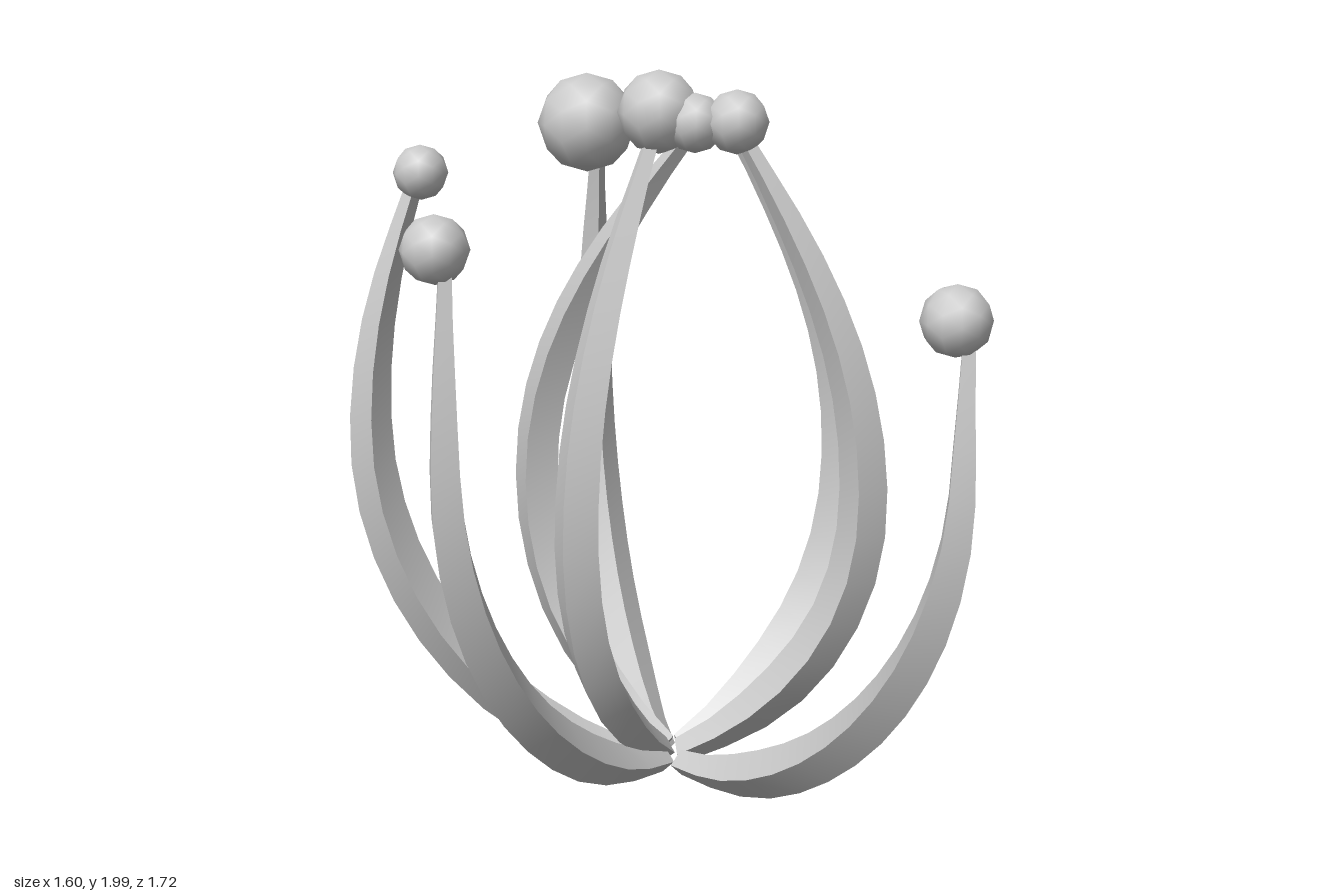
import * as THREE from 'three';
import { toCreasedNormals } from 'three/addons/utils/BufferGeometryUtils.js';

const material = new THREE.MeshStandardMaterial({ color: 0xcccccc });
const RINGS = 16;
const V = (p) => new THREE.Vector3(...p);

// start: foot of the stalk, out: widest point, end: under the bulb,
// lift: how steeply it leaves the foot, bulb: centre and radius
const stalks = [
  { start: [0.05, 0.05, -0.165], out: [-0.145, 1.0, -0.805], end: [-0.13, 1.7, -0.71], lift: 0.05, bulb: [-0.16, 1.79, -0.68, 0.144] },
  { start: [0.04, 0.05, -0.07], out: [-0.745, 1.05, 0.025], end: [-0.61, 1.72, 0], lift: 0.05, bulb: [-0.595, 1.745, 0, 0.073] },
  { start: [0.05, 0.05, -0.06], out: [-0.505, 1.1, 0.635], end: [-0.495, 1.6, 0.605], lift: 0.05, bulb: [-0.52, 1.645, 0.585, 0.086] },
  { start: [0.1, 0.045, -0.045], out: [0.735, 1.12, 0.8], end: [0.74, 1.45, 0.785], lift: 0.025, bulb: [0.71, 1.505, 0.77, 0.088] },
  { start: [0.1, 0.06, -0.1], out: [0.59, 0.85, 0.05], end: [0.25, 1.84, -0.04], lift: 0.18, bulb: [0.24, 1.87, -0.04, 0.086] },
  { start: [0.1, 0.06, -0.14], out: [0.57, 0.88, -0.305], end: [0.235, 1.84, -0.2], lift: 0.18, bulb: [0.23, 1.85, -0.2, 0.056] },
  { start: [0.06, 0.06, -0.14], out: [-0.31, 0.82, -0.32], end: [0.12, 1.84, -0.07], lift: 0.2, bulb: [0.13, 1.865, -0.06, 0.08] },
  { start: [0.05, 0.06, -0.1], out: [-0.19, 0.82, 0.3], end: [0.02, 1.83, -0.09], lift: 0.2, bulb: [0.035, 1.89, -0.1, 0.112] },
];

// point between a and b with separate fractions sideways and upwards
function between(a, b, flat, up) {
  return new THREE.Vector3(
    a.x + (b.x - a.x) * flat, a.y + (b.y - a.y) * up, a.z + (b.z - a.z) * flat);
}

// half width at even steps along the stalk: narrow foot, full belly, thin tip
const widths = new THREE.SplineCurve(
  [0.038, 0.066, 0.069, 0.066, 0.057, 0.042, 0.022].map((r, i) => new THREE.Vector2(i, r)));

// four-sided tapering stalk with its ridges facing in, out and sideways
function stalkGeometry({ start, out, end, lift }) {
  const s = V(start), o = V(out), e = V(end);
  const path = new THREE.CurvePath();
  path.add(new THREE.CubicBezierCurve3(s, between(s, o, 0.52, lift), between(s, o, 1, 0.5), o));
  path.add(new THREE.CubicBezierCurve3(o, between(o, e, 0, 0.38), between(o, e, 0.45, 0.68), e));
  const side = new THREE.Vector3(o.z - s.z, 0, s.x - o.x).normalize();
  const positions = [], index = [];
  for (let i = 0; i <= RINGS; i++) {
    const t = i / RINGS;
    const centre = path.getPointAt(t);
    const normal = path.getTangentAt(t).cross(side).normalize();
    const r = widths.getPoint(t).y;
    for (let j = 0; j < 4; j++) {
      const a = (j * Math.PI) / 2;
      const p = centre.clone()
        .addScaledVector(side, r * Math.cos(a))
        .addScaledVector(normal, r * Math.sin(a));
      positions.push(p.x, p.y, p.z);
      if (i < RINGS) {
        const k = i * 4, n = (j + 1) % 4;
        index.push(k + j, k + n, k + 4 + n, k + j, k + 4 + n, k + 4 + j);
      }
    }
  }
  // end caps
  const last = RINGS * 4;
  index.push(0, 2, 1, 0, 3, 2, last, last + 1, last + 2, last, last + 2, last + 3);
  const geometry = new THREE.BufferGeometry();
  geometry.setAttribute('position', new THREE.Float32BufferAttribute(positions, 3));
  geometry.setIndex(index);
  return toCreasedNormals(geometry, 0.7);
}

export function createModel() {
  const model = new THREE.Group();
  model.name = 'stalkCluster';
  stalks.forEach((data, i) => {
    const arm = new THREE.Group();
    arm.name = `arm${i + 1}`;
    const stalk = new THREE.Mesh(stalkGeometry(data), material);
    stalk.name = 'stalk';
    // low-poly round bulb at the tip
    const [x, y, z, r] = data.bulb;
    const bulb = new THREE.Mesh(new THREE.IcosahedronGeometry(r, 1), material);
    bulb.name = 'bulb';
    bulb.position.set(x, y, z);
    arm.add(stalk, bulb);
    model.add(arm);
  });
  return model;
}
